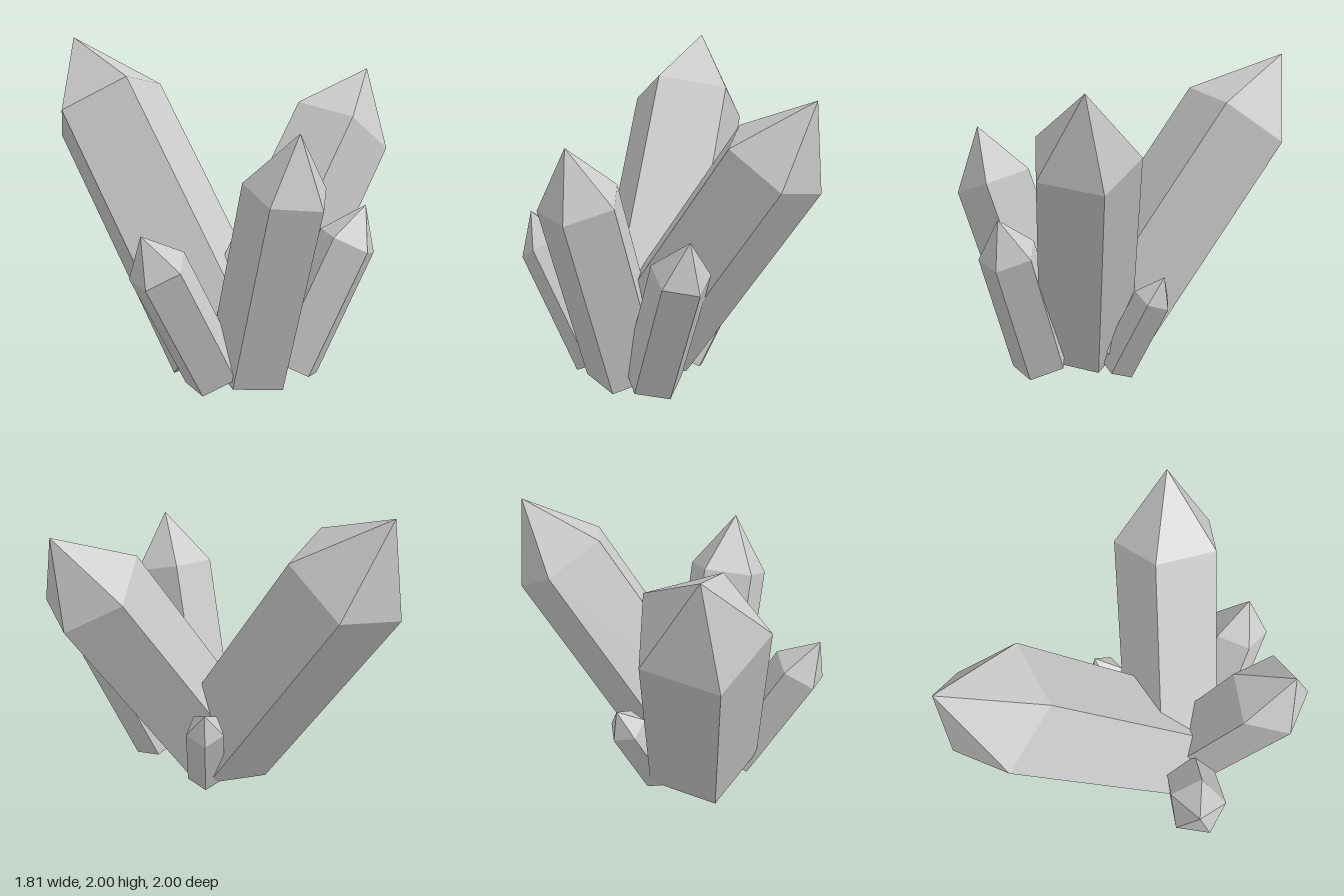
import * as THREE from 'three';

// Share of each crystal's length taken by its pointed tip
const TIP_SHARE = 0.23;

// base centre, tip, radius, and the rough direction of one edge around the axis
const crystals = [
  { name: 'tallBackCrystal', base: [-0.226, 0.204, 0.155], tip: [-0.64, 2, -1], radius: 0.373, edge: [-0.012, 0.206, 0.311] },
  { name: 'largeLeftCrystal', base: [-0.178, 0.237, 0.233], tip: [0.9, 1.81, 0.04], radius: 0.322, edge: [-0.267, 0.173, -0.051] },
  { name: 'frontCrystal', base: [-0.176, 0.125, 0.386], tip: [-0.18, 1.555, 0.88], radius: 0.251, edge: [0.076, -0.085, 0.224] },
  { name: 'smallRightCrystal', base: [-0.407, 0.12, 0.355], tip: [-0.9, 1.005, 0.437], radius: 0.176, edge: [0.154, 0.084, 0.011] },
  { name: 'smallLeftCrystal', base: [0.068, 0.13, 0.442], tip: [0.47, 1.07, 0.61], radius: 0.18, edge: [0.004, -0.035, 0.178] },
  { name: 'tinyBackCrystal', base: [-0.03, 0.09, -0.02], tip: [0.13, 0.69, -0.32], radius: 0.12, edge: [0.117, -0.03, 0.03] },
];

// Five-sided prism with a pyramid tip, stood along the line from base to tip
function makeCrystal({ name, base, tip, radius, edge }, material) {
  const start = new THREE.Vector3(...base);
  const axis = new THREE.Vector3(...tip).sub(start);
  const length = axis.length();
  axis.normalize();

  const profile = [
    new THREE.Vector2(0, 0),
    new THREE.Vector2(radius, 0),
    new THREE.Vector2(radius, length * (1 - TIP_SHARE)),
    new THREE.Vector2(0, length),
  ];
  const mesh = new THREE.Mesh(new THREE.LatheGeometry(profile, 5), material);
  mesh.name = name;

  // The lathe's first edge lies on local +z; turn it to the given direction
  const zAxis = new THREE.Vector3(...edge).projectOnPlane(axis).normalize();
  const xAxis = new THREE.Vector3().crossVectors(axis, zAxis);
  mesh.quaternion.setFromRotationMatrix(new THREE.Matrix4().makeBasis(xAxis, axis, zAxis));
  mesh.position.copy(start);
  return mesh;
}

export function createModel() {
  const group = new THREE.Group();
  group.name = 'crystalCluster';
  const material = new THREE.MeshStandardMaterial({ color: 0xcccccc, flatShading: true });
  for (const crystal of crystals) group.add(makeCrystal(crystal, material));
  return group;
}
